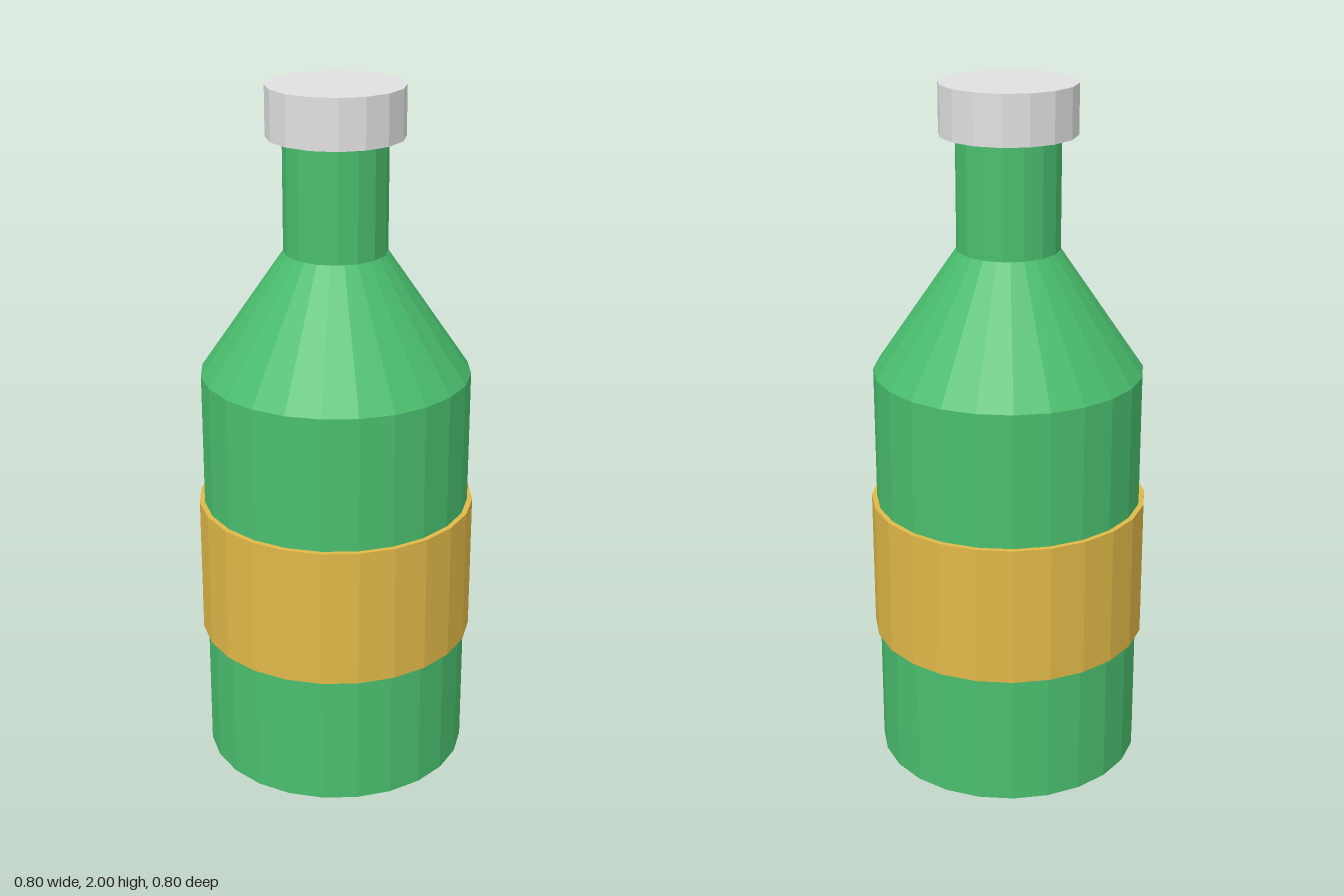
import * as THREE from 'three';

export function createModel() {
  const makeMaterial = (name, color) => {
    const m = new THREE.MeshStandardMaterial({ color, flatShading: true });
    m.name = name;
    return m;
  };
  const glass = makeMaterial('green glass', 0x4abe6e);
  const gold = makeMaterial('gold label', 0xe0b848);
  const silver = makeMaterial('silver cap', 0xe0e0e0);

  const bottle = new THREE.Group();
  bottle.name = 'bottle';

  // Faceted round section standing between two heights
  const addSection = (name, material, rTop, rBottom, y0, y1, sides) => {
    const mesh = new THREE.Mesh(
      new THREE.CylinderGeometry(rTop, rBottom, y1 - y0, sides), material);
    mesh.name = name;
    mesh.position.y = (y0 + y1) / 2;
    bottle.add(mesh);
  };

  addSection('body', glass, 0.385, 0.385, 0, 1.19, 24);
  addSection('shoulder', glass, 0.146, 0.385, 1.19, 1.54, 24);
  addSection('neck', glass, 0.146, 0.146, 1.54, 1.86, 16);
  addSection('cap', silver, 0.192, 0.192, 1.86, 2, 16);
  addSection('label', gold, 0.4, 0.4, 0.392, 0.8, 24);

  return bottle;
}
